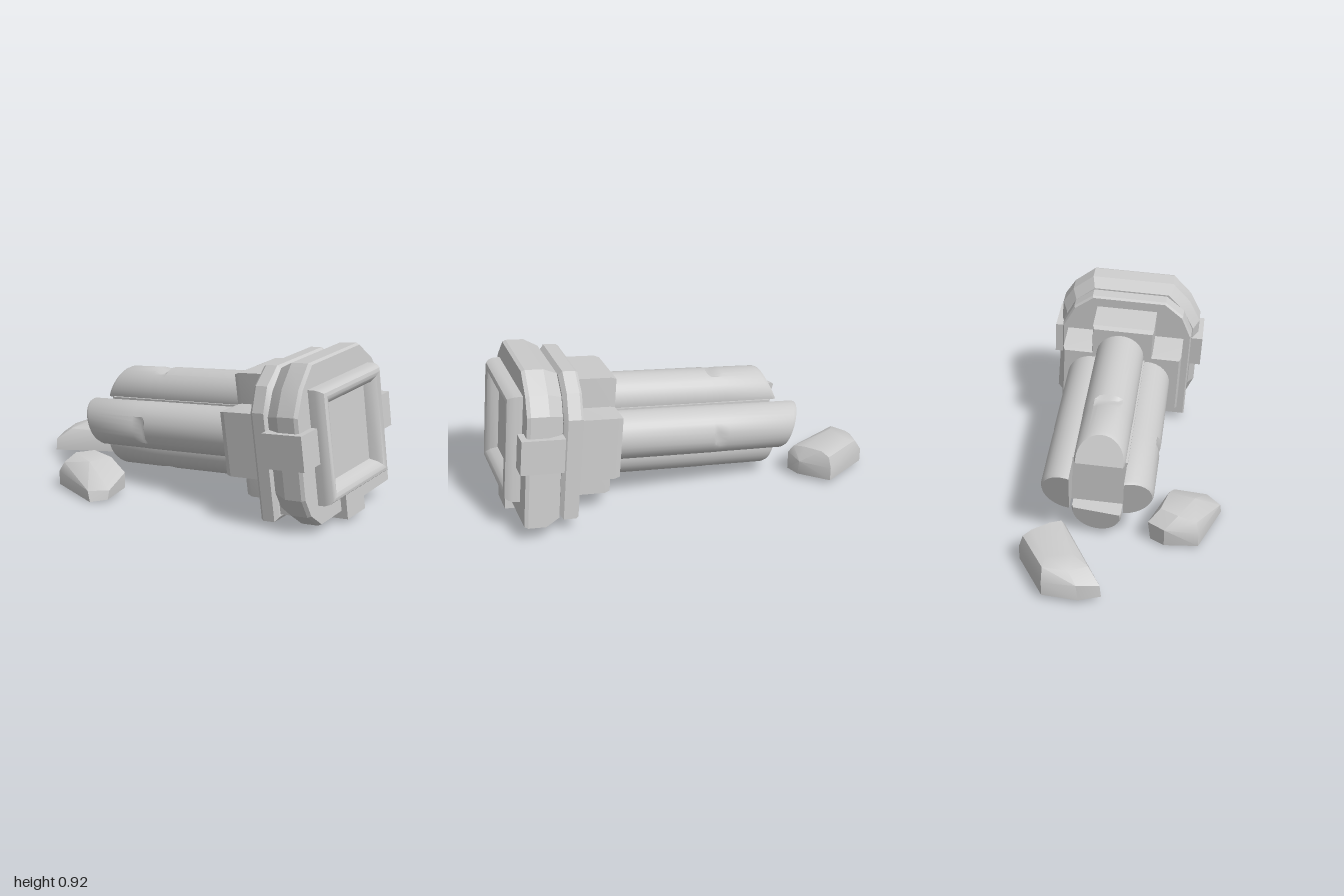
import * as THREE from 'three';
import { toCreasedNormals } from 'three/addons/utils/BufferGeometryUtils.js';
import { ConvexGeometry } from 'three/addons/geometries/ConvexGeometry.js';

const material = new THREE.MeshStandardMaterial({ color: 0xcccccc });

function addMesh(parent, name, geometry, crease = 0.3) {
  const mesh = new THREE.Mesh(toCreasedNormals(geometry, crease), material);
  mesh.name = name;
  parent.add(mesh);
  return mesh;
}

// Skin a counter-clockwise outline through [depth, scale] stations, with end caps
function loft(outline, stations, rule) {
  const n = outline.length, pos = [], idx = [];
  const put = (x, y, z) => {
    const p = new THREE.Vector3(x, y, z);
    if (rule) rule(p);
    return pos.push(p.x, p.y, p.z) / 3 - 1;
  };
  stations.forEach(([z, s]) => outline.forEach(([x, y]) => put(x * s, y * s, z)));
  const last = (stations.length - 1) * n;
  const back = put(0, 0, stations[0][0]);
  const front = put(0, 0, stations[stations.length - 1][0]);
  for (let j = 0; j < n; j++) {
    const k = (j + 1) % n;
    for (let b = 0; b < last; b += n) {
      idx.push(b + j, b + k, b + n + k, b + j, b + n + k, b + n + j);
    }
    idx.push(back, k, j, front, last + j, last + k);
  }
  const g = new THREE.BufferGeometry();
  g.setAttribute('position', new THREE.Float32BufferAttribute(pos, 3));
  g.setIndex(idx);
  return g;
}

function addBox(parent, name, x0, x1, y0, y1, z0, z1) {
  const g = new THREE.BoxGeometry(x1 - x0, y1 - y0, z1 - z0);
  g.translate((x0 + x1) / 2, (y0 + y1) / 2, (z0 + z1) / 2);
  addMesh(parent, name, g);
}

// One half-round shaft, flat towards the core, with a slanted broken end and a narrow chip
function addShaft(parent, name, cx, cy, end, slantX, slantY, notchZ, notchDepth) {
  const r = 0.14;
  const circle = Array.from({ length: 32 }, (_, i) => {
    const a = (i / 32) * Math.PI * 2;
    return [r * Math.cos(a), r * Math.sin(a)];
  });
  const stations = [[end, 0.92], [end + 0.02, 0.98], [notchZ - 0.06, 0.99],
    [notchZ - 0.01, 1], [notchZ + 0.01, 1], [notchZ + 0.03, 1], [-0.5, 1]];
  const len = Math.hypot(cx, cy);
  const geometry = loft(circle, stations, (p) => {
    const limit = Math.abs(p.z - notchZ) < 0.02 ? r - notchDepth : r;
    const out = (p.x * cx + p.y * cy) / len;
    const shift = THREE.MathUtils.clamp(out, -0.02, limit) - out;
    p.x += (shift * cx) / len;
    p.y += (shift * cy) / len;
    if (p.z < end + 0.03) p.z += slantX * p.x + slantY * p.y;
    p.x += cx;
    p.y += cy;
  });
  addMesh(parent, name, geometry, 0.55);
}

function addRubble(parent, name, points) {
  addMesh(parent, name, new ConvexGeometry(points.map((p) => new THREE.Vector3(...p))), 0.6);
}

export function createModel() {
  const model = new THREE.Group();
  model.name = 'fallenColumn';

  // Toppled column: local z runs along the shaft towards the capped end
  const column = new THREE.Group();
  column.name = 'column';
  const axis = new THREE.Vector3(0.704, 0.096, 0.704).normalize();
  const side = new THREE.Vector3(0.705, 0.055, -0.705);
  const up = new THREE.Vector3().crossVectors(axis, side).normalize();
  side.crossVectors(up, axis);
  column.quaternion.setFromRotationMatrix(new THREE.Matrix4().makeBasis(side, up, axis));
  column.position.set(0.59, 0.465, 0.66);
  model.add(column);

  // Four clustered shafts around a core
  const shafts = new THREE.Group();
  shafts.name = 'shafts';
  shafts.position.set(0.018, 0.008, 0);
  column.add(shafts);
  const d = 0.165;
  addShaft(shafts, 'leftShaft', d, 0, -1.645, 0.2, -0.25, -1.16, 0.012);
  addShaft(shafts, 'rightShaft', -d, 0, -1.64, -0.25, -0.25, -1.2, 0.025);
  addShaft(shafts, 'topShaft', 0, d, -1.555, 0, 0.5, -1.18, 0.025);
  addShaft(shafts, 'bottomShaft', 0, -d, -1.6, 0.1, -0.2, -1.2, 0.025);
  addBox(shafts, 'shaftCore', -0.148, 0.148, -0.148, 0.148, -1.52, -0.5);

  // Cross-shaped shoulder holding the shafts
  const a = 0.18, b = 0.352;
  const cross = [[b, -a], [b, a], [a, a], [a, b], [-a, b], [-a, a],
    [-b, a], [-b, -a], [-a, -a], [-a, -b], [a, -b], [a, -a]];
  addMesh(column, 'shoulder', loft(cross, [[-0.57, 0.97], [-0.54, 1], [-0.28, 1]])).position.x = 0.008;

  // Stepped plates of the base, worn at the corners
  const rearPlate = [[0.39, -0.39], [0.395, 0.2], [0.33, 0.33], [0.22, 0.415], [-0.22, 0.415],
    [-0.33, 0.33], [-0.39, 0.2], [-0.39, -0.39]];
  addMesh(column, 'rearPlate', loft(rearPlate, [[-0.335, 0.98], [-0.32, 1], [-0.25, 1], [-0.23, 0.94]]));
  addMesh(column, 'plateNeck', loft(rearPlate, [[-0.26, 0.91], [-0.15, 0.91]]));
  const frontPlate = [[0.44, -0.4], [0.42, 0.24], [0.36, 0.34], [0.24, 0.44], [-0.25, 0.44],
    [-0.36, 0.33], [-0.43, 0.2], [-0.43, -0.24], [-0.39, -0.34], [-0.3, -0.415]];
  addMesh(column, 'frontPlate', loft(frontPlate, [[-0.22, 0.92], [-0.14, 1], [-0.04, 1], [-0.02, 0.98]]));

  // Rounded square rim around a recessed panel
  const square = [[1, -1], [1, 1], [-1, 1], [-1, -1]];
  const rim = [[-0.05, 0.31], [0.02, 0.307], [0.045, 0.3], [0.062, 0.288], [0.068, 0.27],
    [0.06, 0.25], [0.04, 0.225], [0, 0.208]];
  addMesh(column, 'panelFrame', loft(square, rim), 0.6).position.y = 0.008;

  // Clamps on the sides and underside
  addBox(column, 'leftClamp', 0.345, 0.452, -0.075, 0.12, -0.225, 0.015);
  addBox(column, 'rightClamp', -0.46, -0.305, -0.072, 0.118, -0.225, 0.015);
  addBox(column, 'bottomClamp', -0.09, 0.095, -0.447, -0.3, -0.225, 0.015);

  // Broken shaft pieces lying on the ground
  addRubble(model, 'rearRubble', [
    [-0.93, 0.02, -0.77], [-0.88, 0.02, -0.88], [-0.73, 0.02, -1], [-0.42, 0.02, -0.92],
    [-0.41, 0.02, -0.72], [-0.45, 0.02, -0.64], [-0.925, 0.09, -0.775], [-0.87, 0.11, -0.885],
    [-0.73, 0.1, -1], [-0.42, 0.1, -0.92], [-0.4, 0.11, -0.73], [-0.45, 0.13, -0.64],
    [-0.83, 0.155, -0.775], [-0.8, 0.16, -0.88], [-0.7, 0.165, -0.97], [-0.43, 0.165, -0.9],
    [-0.66, 0.185, -0.92], [-0.73, 0.185, -0.8], [-0.44, 0.188, -0.85], [-0.45, 0.188, -0.74],
    [-0.46, 0.175, -0.67]]);
  addRubble(model, 'frontRubble', [
    [-0.92, 0.01, -0.1], [-0.8, 0.01, -0.24], [-0.71, 0.01, -0.26], [-0.55, 0.02, 0.05],
    [-0.66, 0.01, 0.22], [-0.76, 0, 0.22], [-0.92, 0.09, -0.1], [-0.81, 0.12, -0.25],
    [-0.7, 0.12, -0.27], [-0.55, 0.11, 0.05], [-0.89, 0.145, -0.09], [-0.82, 0.18, -0.16],
    [-0.71, 0.18, -0.19], [-0.62, 0.175, -0.05], [-0.75, 0.175, 0.02], [-0.77, 0.06, 0.2],
    [-0.65, 0.06, 0.21]]);

  return model;
}
